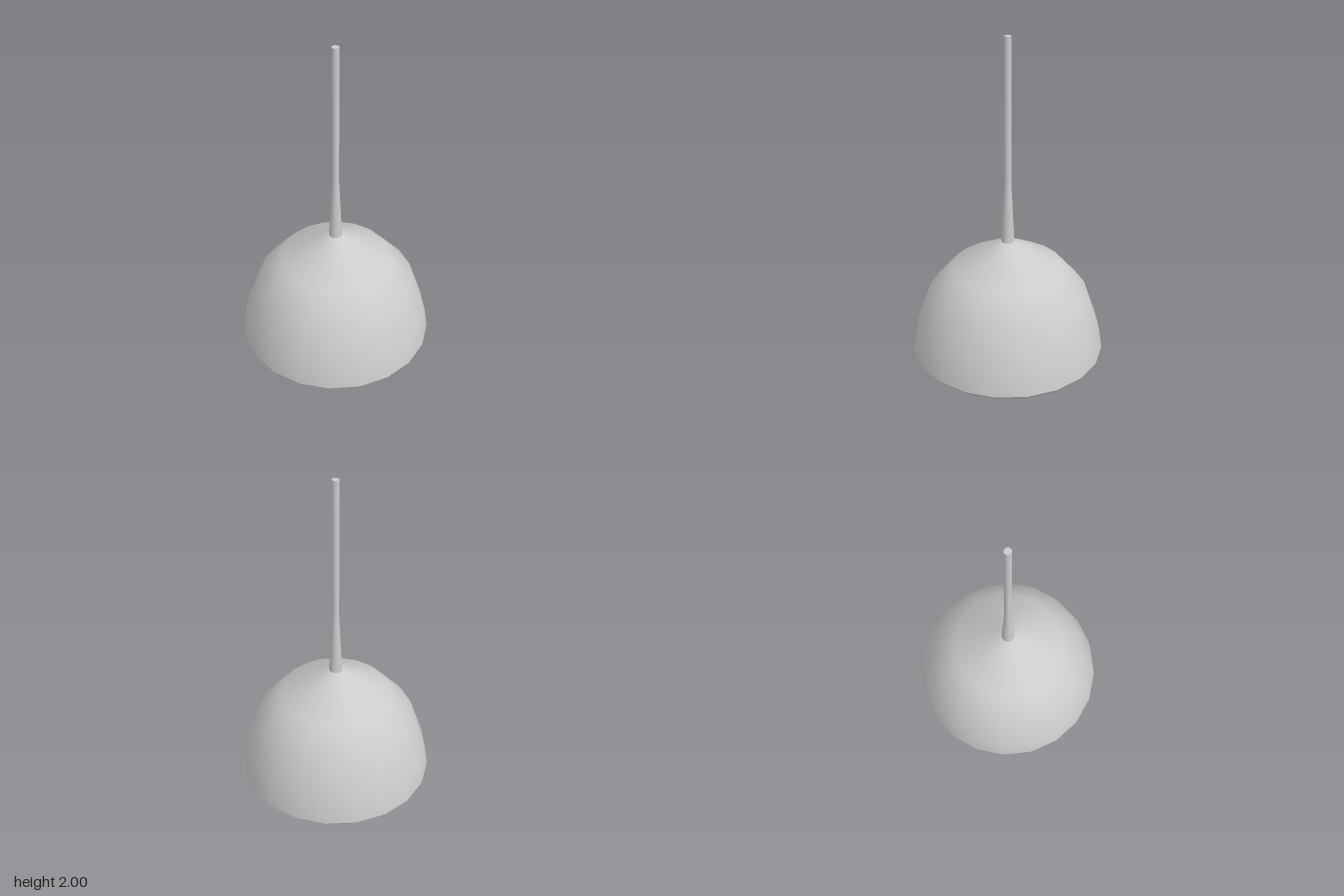
import * as THREE from 'three';

const SIDES = 20;
const grey = new THREE.MeshStandardMaterial({ color: 0xcccccc });

// Revolve each [radius, y] strip separately, so edges stay sharp between strips
function turned(name, strips) {
  const group = new THREE.Group();
  group.name = name;
  strips.forEach((strip, i) => {
    const points = strip.map(([r, y]) => new THREE.Vector2(r, y));
    const mesh = new THREE.Mesh(new THREE.LatheGeometry(points, SIDES), grey);
    mesh.name = `${name}Surface${i + 1}`;
    group.add(mesh);
  });
  return group;
}

export function createModel() {
  const model = new THREE.Group();
  model.name = 'pendantLamp';

  // Domed shade: outer skin, closed at the top under the stem
  model.add(turned('shadeOuter', [
    [[0.59, 0.03], [0.57, 0.16], [0.485, 0.41], [0.34, 0.577], [0.045, 0.745]],
    [[0.045, 0.745], [0, 0.745]],
  ]));

  // Bottom rim: wide flat lip and outer bevel
  model.add(turned('shadeRim', [
    [[0.485, 0], [0.565, 0]],
    [[0.565, 0], [0.59, 0.03]],
  ]));

  // Hollow inside: flat ceiling and curved wall, parallel to the outer skin
  model.add(turned('shadeInner', [
    [[0, 0.35], [0.38, 0.35]],
    [[0.38, 0.35], [0.475, 0.13], [0.485, 0]],
  ]));

  // Lamp holder hanging from the ceiling
  const holder = new THREE.Mesh(new THREE.CylinderGeometry(0.184, 0.184, 0.3, SIDES), grey);
  holder.name = 'lampHolder';
  holder.position.y = 0.055 + 0.3 / 2;
  model.add(holder);

  // Tapered sleeve running into a thin straight rod
  model.add(turned('stem', [
    [[0.04, 0.745], [0.021, 1.13]],
    [[0.021, 1.13], [0.021, 2]],
    [[0.021, 2], [0, 2]],
  ]));

  return model;
}
